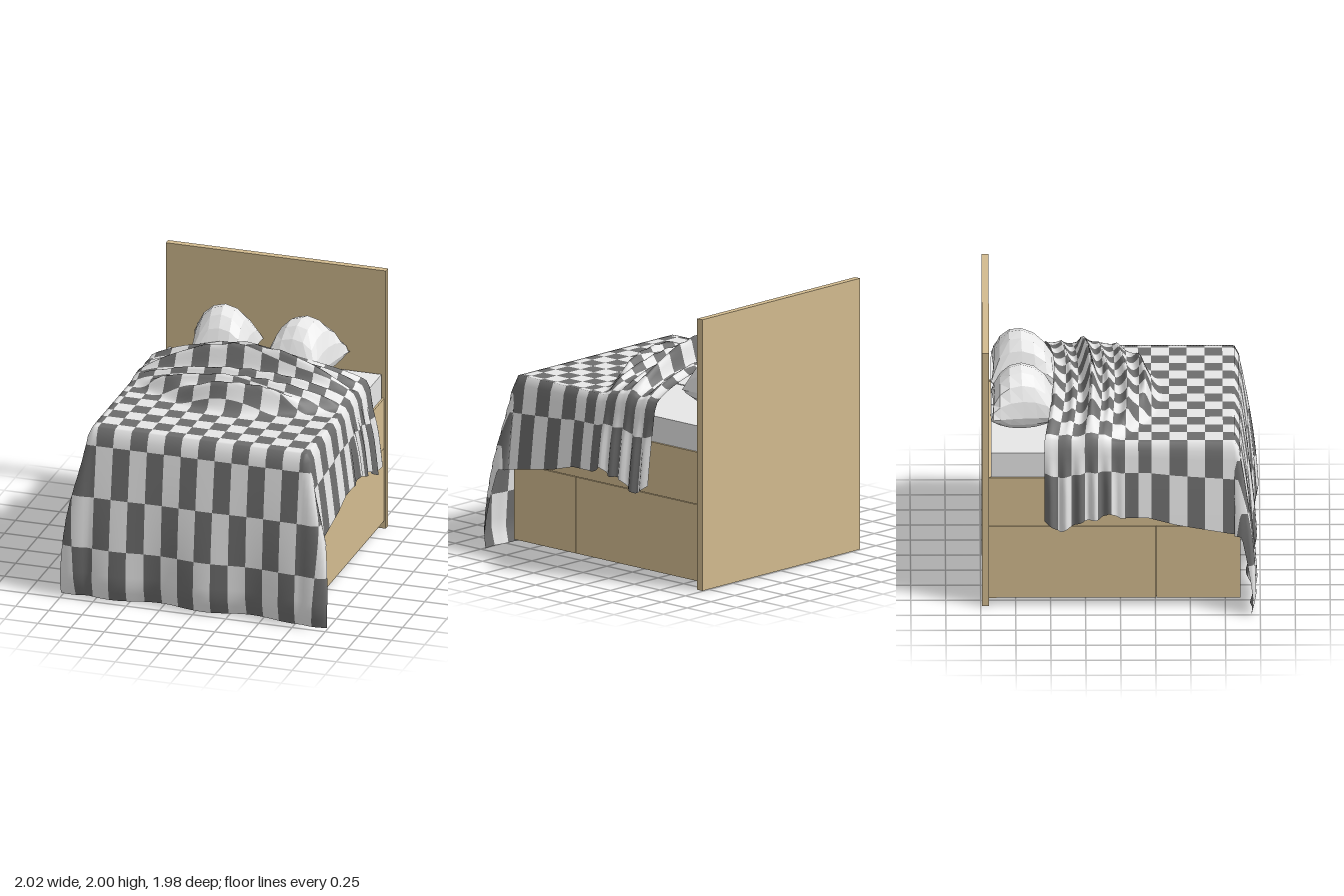
import * as THREE from 'three';
import { mergeGeometries } from 'three/addons/utils/BufferGeometryUtils.js';

const material = (name, color, extra = {}) => {
  const m = new THREE.MeshStandardMaterial({ color, ...extra });
  m.name = name;
  return m;
};

const clamp = (v, a, b) => Math.min(b, Math.max(a, v));
const smooth = THREE.MathUtils.smoothstep;

// Piecewise linear lookup through [key, value] pairs, keys ascending
function lookup(pairs, k) {
  for (let i = 1; i < pairs.length; i++) {
    const [k0, v0] = pairs[i - 1], [k1, v1] = pairs[i];
    if (k <= k1) return v0 + (v1 - v0) * clamp((k - k0) / (k1 - k0), 0, 1);
  }
  return pairs[pairs.length - 1][1];
}

// How far the side hem hangs along the bed
const HEM = [[-0.55, 0.87], [-0.43, 0.99], [-0.3, 0.88], [-0.15, 0.85], [-0.08, 0.76],
  [0, 0.82], [0.2, 0.82], [0.4, 0.9], [0.8, 1]];

// Crumpled hump of cloth towards the pillows
function humpHeight(x, z) {
  const env = Math.pow(Math.max(0, Math.cos(Math.PI * x / 1.66)), 0.7);
  const ramp = smooth(0.29 - 0.47 * x * x - z, 0, 0.12);
  const bent = z + 0.03 * Math.sin(3 * x);
  const ridge = 0.075 * (1 - Math.abs(Math.sin(24 * bent + 2.14 + 2 * x * x)));
  const crest = 0.135 * Math.exp(-(((bent + 0.22) / 0.05) ** 2));
  const back = 0.04 * smooth(-z, 0.36, 0.44);
  return env * ramp * (0.13 + ridge + crest + back);
}

// Cloth position for check coordinates: a runs across, b runs from foot to head
function clothPoint(a, b) {
  const ac = clamp(a, 0.65, 13.35), bc = Math.max(b, 0.34);
  let x = -0.9 + 0.1275 * ac;
  let z = bc < 5 ? 0.86 - 0.1275 * bc : 0.2225 - (0.087 + 0.013 * x * x) * (bc - 5);
  const side = a < 7 ? -1 : 1;
  const ds = 0.41 * Math.abs(a - ac) * lookup(HEM, z);
  const df = 0.38 * (bc - b);
  const r = Math.max(ds, df);
  let y = 1.28 + humpHeight(x, z) - r;
  if (r > 0) {
    const angle = Math.atan2(ds, df);
    const quick = 0.025 * Math.min(1, r / 0.04);
    const spread = Math.sin(Math.min(r / 1.2, 1) * Math.PI / 2);
    const corner = Math.min(1, angle / 0.5);
    const wing = smooth(df, 0, 0.7);
    const sideFold = smooth(-z, -0.06, 0.08) * smooth(ds, 0, 0.4);
    const frontWave = 0.018 * r * r * Math.sin(9 * x + 1);
    const endFlare = quick + (0.115 + 0.06 * corner) * spread - 0.03 * smooth(r, 1.15, 1.27);
    x += side * ((quick + 0.175 * spread) * corner * (0.65 + 0.35 * wing)
      + 0.035 * sideFold * (0.5 + 0.5 * Math.sin(60 * z)));
    z += (endFlare + frontWave) * Math.cos(Math.min(Math.PI / 2, 1.6 * angle));
  }
  return [x, Math.max(0.012, y), z];
}

// Checked blanket: 16 x 16 checks, each finely divided
function blanketGeometry() {
  const cells = 16, sub = 6, n = cells * sub;
  const positions = [], light = [], dark = [];
  for (let j = 0; j <= n; j++)
    for (let i = 0; i <= n; i++) positions.push(...clothPoint(-1 + i / sub, -3 + j / sub));
  for (let j = 0; j < n; j++)
    for (let i = 0; i < n; i++) {
      const p = j * (n + 1) + i, q = p + n + 1;
      const odd = (Math.floor(i / sub) + Math.floor(j / sub)) % 2;
      (odd ? dark : light).push(p, p + 1, q + 1, p, q + 1, q);
    }
  const g = new THREE.BufferGeometry();
  g.setAttribute('position', new THREE.Float32BufferAttribute(positions, 3));
  g.setIndex([...light, ...dark]);
  g.addGroup(0, light.length, 0);
  g.addGroup(light.length, dark.length, 1);
  g.computeVertexNormals();
  return g;
}

// Plump pillow with pinched sides, skewed towards the bed's middle; two domed sheets
function pillowGeometry() {
  const sheet = (dir, bulge) => {
    const g = new THREE.PlaneGeometry(2, 2, 8, 8);
    const p = g.attributes.position;
    for (let i = 0; i < p.count; i++) {
      const ease = (t) => Math.sin(t * Math.PI / 2);
      const u = ease(p.getX(i)), v = ease(-dir * p.getY(i));
      const dome = Math.pow(Math.max(0, (1 - u * u) * (1 - v * v)), 0.5);
      p.setXYZ(i,
        u * (0.235 - 0.025 * v) * (1 - 0.07 * (1 - v * v)) + 0.03 * (v + 1),
        1.345 - 0.015 * v + dir * bulge * dome,
        -0.685 + 0.24 * v * (1 - 0.07 * (1 - u * u)) - 0.025 * dome);
    }
    return g;
  };
  const g = mergeGeometries([sheet(1, 0.325), sheet(-1, 0.15)]);
  g.computeVertexNormals();
  return g;
}

export function createModel() {
  const model = new THREE.Group();
  model.name = 'bed';

  const wood = material('wood', 0xd2bb8f);
  const linen = material('linen', 0xeeeeee);
  const pillowCloth = material('pillowCloth', 0xeeeeee, { flatShading: true, side: THREE.DoubleSide });
  const lightCheck = material('lightCheck', 0xeeeeee, { side: THREE.DoubleSide });
  const darkCheck = material('darkCheck', 0x6d6d6d, { side: THREE.DoubleSide });

  const add = (name, geometry, mat) => {
    const mesh = new THREE.Mesh(geometry, mat);
    mesh.name = name;
    model.add(mesh);
    return mesh;
  };
  // Box given by its lower and upper limits
  const box = (name, mat, x0, x1, y0, y1, z0, z1) =>
    add(name, new THREE.BoxGeometry(x1 - x0, y1 - y0, z1 - z0), mat)
      .position.set((x0 + x1) / 2, (y0 + y1) / 2, (z0 + z1) / 2);

  // Headboard
  box('headboard', wood, -0.845, 0.812, 0, 2, -0.99, -0.94);

  // Sides: a full inner panel faced with an upper rail and two drawer fronts
  for (const [label, out, inn] of [['right', -0.835, -0.82], ['left', 0.8, 0.785]]) {
    const face = (part, ...limits) =>
      box(label + part, wood, Math.min(out, inn), Math.max(out, inn), ...limits);
    const back = inn - Math.sign(out) * 0.012;
    box(label + 'InnerPanel', wood, Math.min(inn, back), Math.max(inn, back), 0.065, 1.0, -0.94, 0.84);
    face('Rail', 0.627, 1.01, -0.94, 0.86);
    face('HeadDrawer', 0.06, 0.623, -0.94, 0.255);
    face('FootDrawer', 0.06, 0.623, 0.259, 0.86);
  }
  // Foot panel, base deck and the pale lining beneath it
  box('footPanel', wood, -0.82, 0.785, 0.06, 1.01, 0.835, 0.86);
  box('baseDeck', wood, -0.808, 0.773, 0.7, 1.0, -0.94, 0.835);
  box('baseLining', linen, -0.808, 0.773, 0.692, 0.7, -0.94, 0.835);

  // Twin mattresses
  box('rightMattress', linen, -0.82, -0.025, 1.0, 1.2, -0.925, 0.8);
  box('leftMattress', linen, -0.012, 0.785, 1.0, 1.2, -0.925, 0.8);

  // Pillows
  const pillow = pillowGeometry();
  const rightPillow = add('rightPillow', pillow, pillowCloth);
  rightPillow.position.x = -0.365;
  const leftPillow = add('leftPillow', pillow, pillowCloth);
  leftPillow.position.set(0.29, -0.01, 0);
  leftPillow.scale.x = -1;

  add('checkedBlanket', blanketGeometry(), [lightCheck, darkCheck]);
  return model;
}
